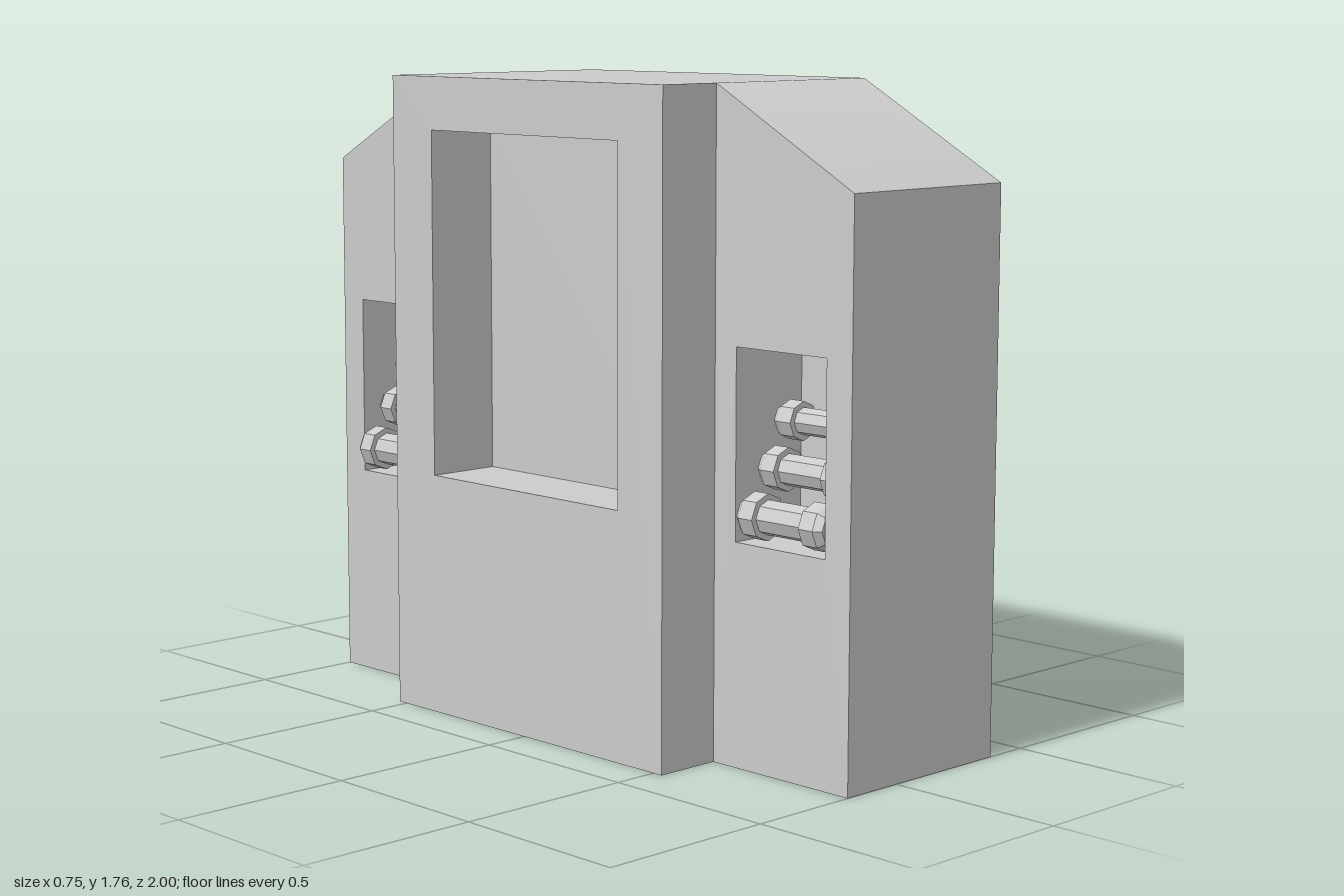
import * as THREE from 'three';

const RIGHT = 0.375, WING = -0.185, FRONT = -0.375; // x of the back wall, side wings, centre block
const HALF = 0.53, SHOULDER = 1.51, TOP = 1.765;

const grey = new THREE.MeshStandardMaterial({ color: 0xcccccc, side: THREE.DoubleSide });
const facetted = new THREE.MeshStandardMaterial({ color: 0xcccccc, flatShading: true, side: THREE.DoubleSide });

function add(parent, name, geometry, material = grey) {
  const mesh = new THREE.Mesh(geometry, material);
  mesh.name = name;
  parent.add(mesh);
  return mesh;
}

const outline = (points) => points.map(([z, y]) => new THREE.Vector2(z, y));
const rect = (z0, z1, y0, y1) => [[z0, y0], [z1, y0], [z1, y1], [z0, y1]];

// Flat panel drawn in (z, y), facing -x
function sidePanel(points, hole) {
  const shape = new THREE.Shape(outline(points));
  if (hole) shape.holes.push(new THREE.Path(outline(hole)));
  return new THREE.ShapeGeometry(shape).rotateY(-Math.PI / 2);
}

// Box lining without its -x face
function recess(x0, x1, z0, z1, y0, y1) {
  const box = new THREE.BoxGeometry(x1 - x0, y1 - y0, z1 - z0);
  const index = Array.from(box.index.array);
  index.splice(6, 6);
  box.setIndex(index);
  box.clearGroups();
  return box.translate((x0 + x1) / 2, (y0 + y1) / 2, (z0 + z1) / 2);
}

// Wall across x, facing +z or -z
function endWall(x0, x1, height, z) {
  const wall = new THREE.PlaneGeometry(x1 - x0, height);
  if (z < 0) wall.rotateY(Math.PI);
  return wall.translate((x0 + x1) / 2, height / 2, z);
}

// Roof strip with softened bends
function roofGeometry() {
  const rows = [[-1, SHOULDER], [-HALF, TOP], [HALF, TOP], [1, SHOULDER]];
  const positions = [], index = [];
  for (const [z, y] of rows) positions.push(WING, y, z, RIGHT, y, z);
  positions.push(FRONT, TOP, -HALF, FRONT, TOP, HALF);
  const quad = (a, b, c, d) => index.push(a, b, c, a, c, d);
  for (let i = 0; i < 6; i += 2) quad(i, i + 2, i + 3, i + 1);
  quad(8, 9, 4, 2);
  const g = new THREE.BufferGeometry();
  g.setAttribute('position', new THREE.Float32BufferAttribute(positions, 3));
  g.setIndex(index);
  g.computeVertexNormals();
  return g;
}

// Bar along z with a chamfered head at each end
function rollGeometry(r) {
  const half = [[0, 0.148], [r * 0.75, 0.148], [r, 0.128], [r, 0.08], [r - 0.016, 0.08]];
  const profile = [
    ...half.map(([x, y]) => new THREE.Vector2(x, -y)),
    ...half.slice().reverse().map(([x, y]) => new THREE.Vector2(x, y)),
  ];
  return new THREE.LatheGeometry(profile, 8).rotateX(Math.PI / 2);
}

export function createModel() {
  const model = new THREE.Group();
  model.name = 'cabinet';

  // Outer shell, open underneath
  const shell = new THREE.Group();
  shell.name = 'shell';
  model.add(shell);
  const back = new THREE.Shape(outline(
    [[-1, 0], [1, 0], [1, SHOULDER], [HALF, TOP], [-HALF, TOP], [-1, SHOULDER]]));
  add(shell, 'plainSide', new THREE.ShapeGeometry(back).rotateY(Math.PI / 2)).position.x = RIGHT;
  add(shell, 'roof', roofGeometry());

  // Centre block with its large window recess
  const win = [-0.367, 0.367, 0.67, 1.62];
  add(shell, 'centrePanel', sidePanel(rect(-HALF, HALF, 0, TOP), rect(...win))).position.x = FRONT;
  add(shell, 'windowRecess', recess(FRONT, -0.163, ...win));

  // Each end: end wall, block return, wing panel, niche and stacked rolls
  for (const s of [-1, 1]) {
    const end = s > 0 ? 'front' : 'back';
    add(shell, end + 'Wall', endWall(WING, RIGHT, SHOULDER, s));
    add(shell, end + 'BlockReturn', endWall(FRONT, WING, TOP, s * HALF));

    const niche = s > 0 ? [0.605, 0.915, 0.595, 1.1] : [-0.915, -0.605, 0.595, 1.1];
    const wing = [[s * HALF, 0], [s, 0], [s, SHOULDER], [s * HALF, TOP]];
    add(shell, end + 'WingPanel', sidePanel(wing, rect(...niche))).position.x = WING;
    add(shell, end + 'Niche', recess(WING, 0.06, ...niche));

    const rolls = new THREE.Group();
    rolls.name = end + 'Rolls';
    rolls.position.set(s > 0 ? 0 : -0.015, 0, s * 0.763);
    model.add(rolls);
    for (const [x, y, r] of [[-0.145, 0.665, 0.062], [-0.07, 0.78, 0.058], [-0.015, 0.9, 0.052]]) {
      add(rolls, 'roll', rollGeometry(r), facetted).position.set(x, y, 0);
    }
  }
  return model;
}
